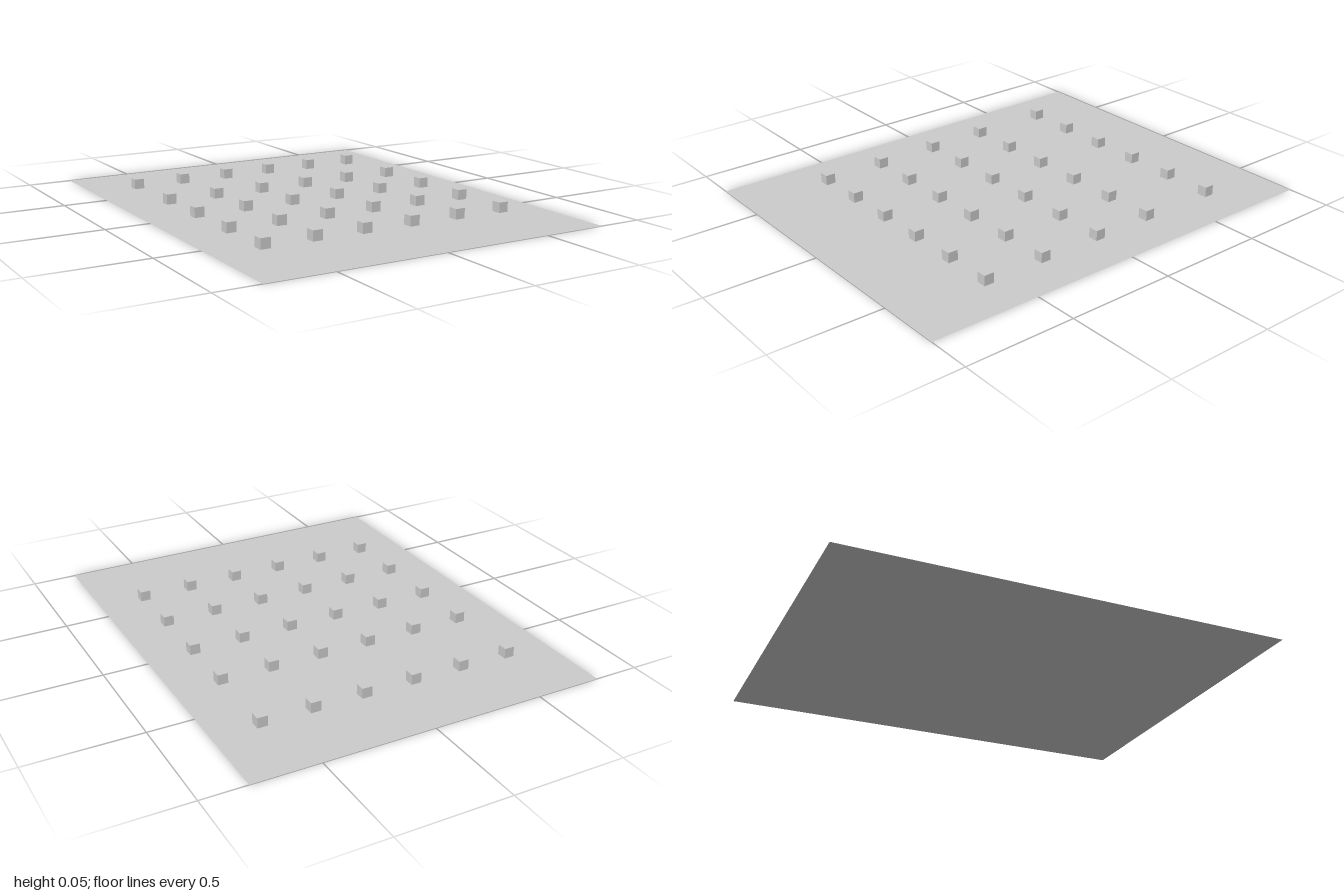
import * as THREE from 'three';

export function createModel() {
  const group = new THREE.Group();
  const material = new THREE.MeshStandardMaterial({ color: 0xcccccc, flatShading: true });
  const sheetMaterial = new THREE.MeshStandardMaterial({ color: 0xcccccc, side: THREE.DoubleSide });

  // Thin flat ground sheet
  const floor = new THREE.Mesh(new THREE.PlaneGeometry(1.6, 2).rotateX(-Math.PI / 2), sheetMaterial);
  floor.name = 'floor';
  group.add(floor);

  // Rows of small cubes, hovering just above the floor
  const size = 0.046;
  const columns = 6, firstX = -0.582, spacingX = 0.2346;
  const rowsZ = [-0.66, -0.288, 0.002, 0.302, 0.592];
  const cubeGeometry = new THREE.BoxGeometry(size, size, size);

  rowsZ.forEach((z, r) => {
    const row = new THREE.Group();
    row.name = `cubeRow${r + 1}`;
    for (let c = 0; c < columns; c++) {
      const cube = new THREE.Mesh(cubeGeometry, material);
      cube.name = `cube${c + 1}`;
      cube.position.set(firstX + c * spacingX, 0.027, z);
      row.add(cube);
    }
    group.add(row);
  });

  return group;
}
